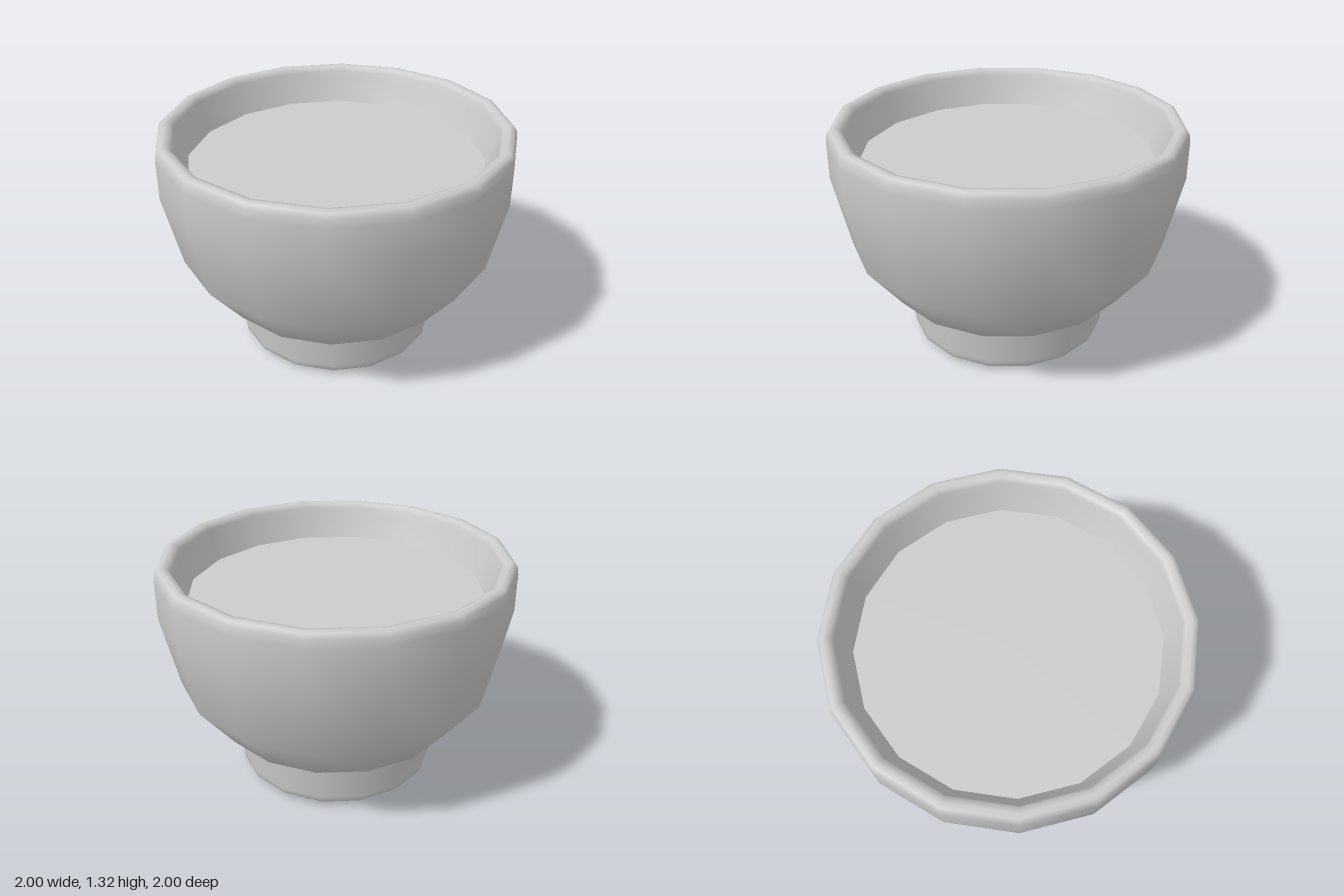
import * as THREE from 'three';

const SIDES = 16;

export function createModel() {
  const group = new THREE.Group();
  const material = new THREE.MeshStandardMaterial({ color: 0xcccccc });

  // Bowl: foot, flared wall, rounded rim and inner wall in one turned profile
  const profile = [
    [0, 0], [0.53, 0.01], [0.56, 0.018], [0.578, 0.035], [0.583, 0.07],
    [0.597, 0.25], [0.602, 0.28], [0.715, 0.345], [0.912, 0.61],
    [1, 1.035], [0.997, 1.25], [0.99, 1.295], [0.975, 1.317], [0.95, 1.324],
    [0.92, 1.315], [0.905, 1.29], [0.895, 1.25], [0.84, 1.11],
  ].map(([r, y]) => new THREE.Vector2(r, y));
  const bowl = new THREE.Mesh(new THREE.LatheGeometry(profile, SIDES), material);
  bowl.name = 'bowl';
  group.add(bowl);

  // Flat surface of the contents, meeting the inner wall
  const contents = new THREE.Mesh(new THREE.CircleGeometry(0.84, SIDES), material);
  contents.name = 'contents';
  contents.rotation.x = -Math.PI / 2;
  contents.position.y = 1.11;
  group.add(contents);

  return group;
}
